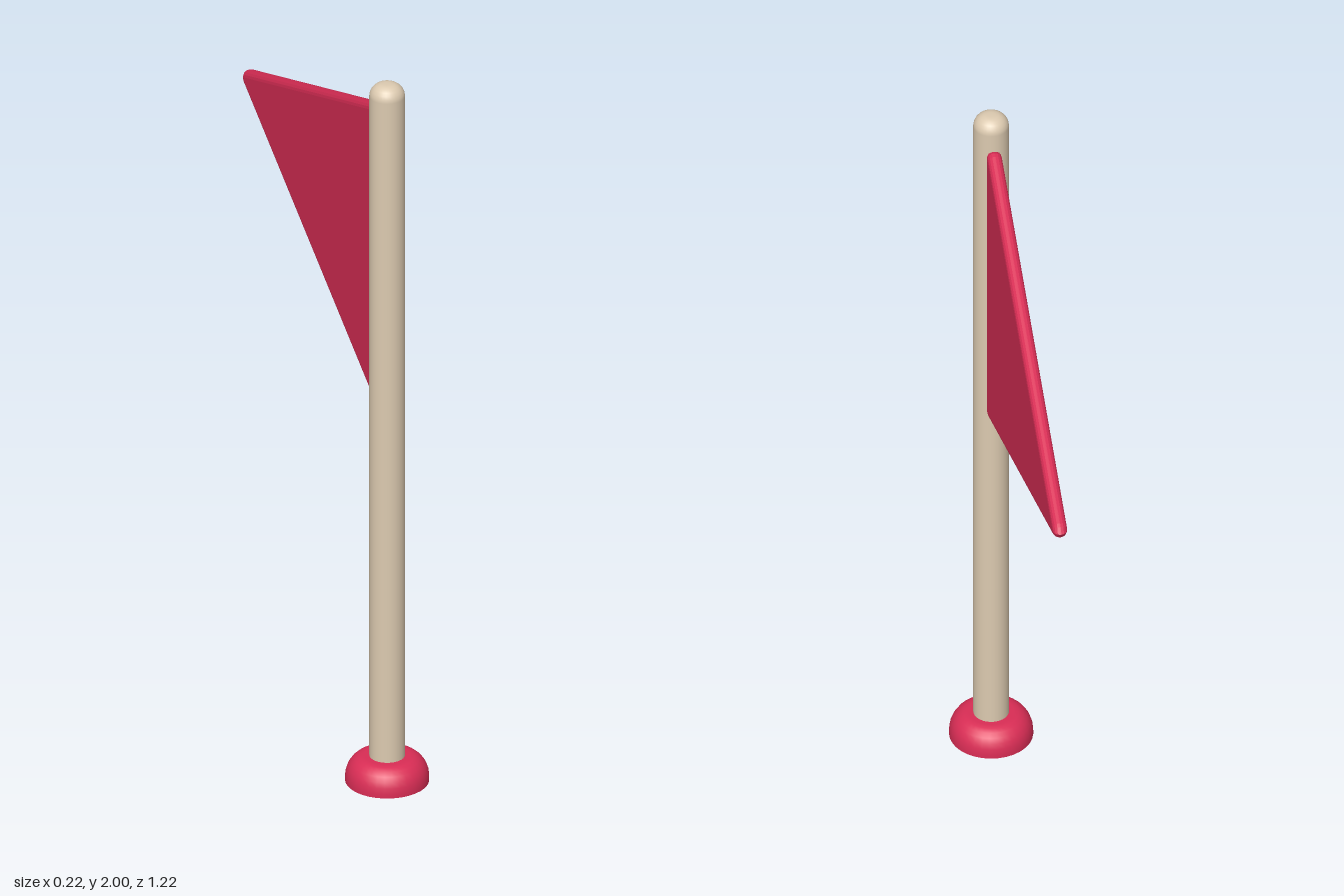
import * as THREE from 'three';

const RED = new THREE.MeshStandardMaterial({ color: 0xd92d55 });
const TAN = new THREE.MeshStandardMaterial({ color: 0xdccab0 });
const POLE_Z = 0.505;

// Turned part on the pole axis; a repeated profile point makes a sharp edge
function turned(name, profile, material) {
  const points = profile.map(([r, y]) => new THREE.Vector2(r, y));
  const mesh = new THREE.Mesh(new THREE.LatheGeometry(points, 32), material);
  mesh.name = name;
  mesh.position.z = POLE_Z;
  return mesh;
}

// Quarter-round from the side (radius r) inwards to the top (height y)
function rounded(r, y, rx, ry, steps = 6) {
  return Array.from({ length: steps + 1 }, (_, i) => {
    const a = (i / steps) * Math.PI / 2;
    return [r - rx + rx * Math.cos(a), y - ry + ry * Math.sin(a)];
  });
}

// Triangular pennant with softly rounded edges and blunted corners
function pennant() {
  const bevel = 0.018;
  const corners = [[-0.457, 1.078], [0.594, 1.49], [-0.457, 1.902]]
    .map(([x, y]) => new THREE.Vector2(x, y));
  const shape = new THREE.Shape();
  corners.forEach((c, i) => {
    const toward = (other) => other.clone().sub(c).setLength(0.014).add(c);
    const a = toward(corners[(i + 2) % 3]);
    const b = toward(corners[(i + 1) % 3]);
    if (i === 0) shape.moveTo(a.x, a.y);
    else shape.lineTo(a.x, a.y);
    shape.quadraticCurveTo(c.x, c.y, b.x, b.y);
  });
  shape.closePath();
  const geometry = new THREE.ExtrudeGeometry(shape, {
    depth: 0.002, bevelThickness: bevel, bevelSize: bevel, bevelSegments: 4, curveSegments: 4,
  });
  geometry.translate(0, 0, -0.001);
  geometry.rotateY(Math.PI / 2); // point the tip to the back
  const mesh = new THREE.Mesh(geometry, RED);
  mesh.name = 'pennant';
  return mesh;
}

export function createModel() {
  const group = new THREE.Group();
  group.name = 'flag';

  // Domed foot with a flat underside
  group.add(turned('base', [
    [0, 0], [0.108, 0], [0.108, 0], ...rounded(0.108, 0.071, 0.05, 0.06), [0, 0.071],
  ], RED));

  // Pole with a rounded top
  group.add(turned('pole', [
    [0, 0.03], [0.046, 0.03], [0.046, 0.03], ...rounded(0.046, 2, 0.036, 0.036), [0, 2],
  ], TAN));

  group.add(pennant());
  return group;
}
